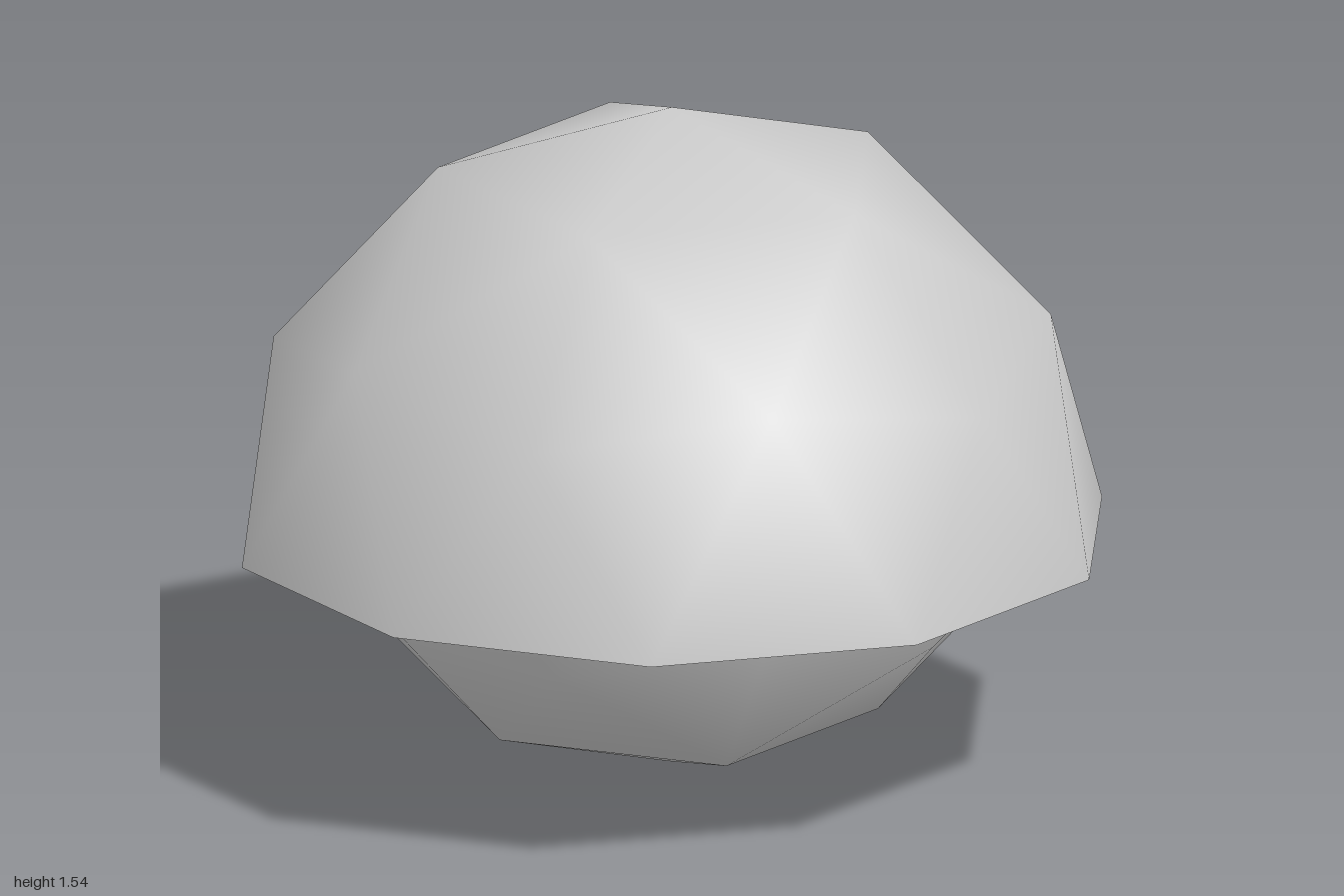
import * as THREE from 'three';
import { mergeVertices } from 'three/addons/utils/BufferGeometryUtils.js';

const material = new THREE.MeshStandardMaterial({ color: 0xcccccc });
const doubleMaterial = new THREE.MeshStandardMaterial({ color: 0xcccccc, side: THREE.DoubleSide, flatShading: true });
const WALL = 0.893; // inner wall relative to the outer one
const LIP = 0.025; // how far the rim's inner edge slants past the equator

// Half of a low-poly icosphere with a vertex at the pole; side is +1 (upper) or -1 (lower)
function halfSphere(side) {
  const source = new THREE.IcosahedronGeometry(1, 1);
  source.rotateZ(-Math.atan2(1, (1 + Math.sqrt(5)) / 2));
  const p = source.attributes.position;
  const kept = [];
  for (let i = 0; i < p.count; i += 3) {
    if ((p.getY(i) + p.getY(i + 1) + p.getY(i + 2)) * side <= 0) continue;
    for (let j = i; j < i + 3; j++) kept.push(p.getX(j), p.getY(j), p.getZ(j));
  }
  const g = new THREE.BufferGeometry();
  g.setAttribute('position', new THREE.Float32BufferAttribute(kept, 3));
  const merged = mergeVertices(g, 1e-3);
  merged.computeVertexNormals();
  return merged;
}

// Inner wall: shrunk copy with its edge shifted and its faces turned inward
function innerWall(side) {
  const g = halfSphere(side);
  g.scale(WALL, WALL, WALL);
  const p = g.attributes.position;
  for (let i = 0; i < p.count; i++) {
    if (Math.abs(p.getY(i)) < 0.01) p.setY(i, -side * LIP);
  }
  g.index.array.reverse();
  g.computeVertexNormals();
  return g;
}

// Ten-sided slanted ring joining both walls
function rimRing(side) {
  const points = [new THREE.Vector2(WALL, -side * LIP), new THREE.Vector2(1, 0)];
  return new THREE.LatheGeometry(points, 10);
}

function shell(name, side, radius) {
  const group = new THREE.Group();
  group.name = name;
  const add = (part, geometry, mat) => {
    const mesh = new THREE.Mesh(geometry, mat);
    mesh.name = name + part;
    group.add(mesh);
  };
  add('OuterWall', halfSphere(side), material);
  add('InnerWall', innerWall(side), material);
  add('Rim', rimRing(side), doubleMaterial);
  group.scale.setScalar(radius);
  return group;
}

export function createModel() {
  const model = new THREE.Group();
  // Upper dome overhanging a smaller bowl
  const dome = shell('dome', 1, 1);
  dome.position.y = 0.54;
  const bowl = shell('bowl', -1, 0.88);
  bowl.position.y = 0.88;
  model.add(dome, bowl);
  return model;
}
